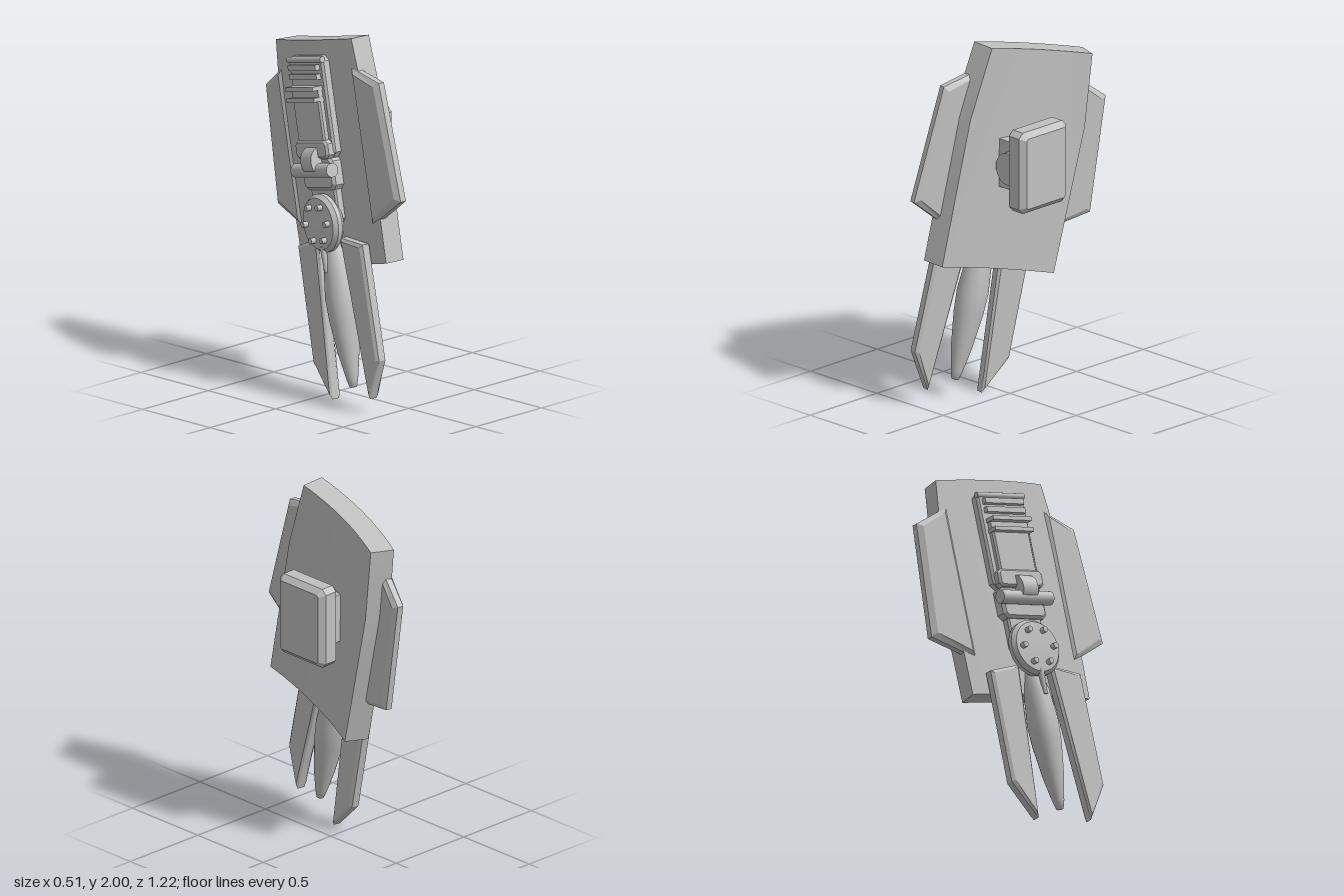
import * as THREE from 'three';
import { toCreasedNormals } from 'three/addons/utils/BufferGeometryUtils.js';

const grey = new THREE.MeshStandardMaterial({ color: 0xc0c0c0 });
grey.name = 'light grey';

function add(parent, name, geometry, x = 0, y = 0, z = 0) {
  const mesh = new THREE.Mesh(geometry, grey);
  mesh.name = name;
  mesh.position.set(x, y, z);
  parent.add(mesh);
  return mesh;
}

// Plate drawn as [across, down] points, running outward (-x) from x = start
function plate(points, thickness, bevel = 0, inset = bevel) {
  const shape = new THREE.Shape(points.map(([e, d]) => new THREE.Vector2(e, -d)));
  const geometry = new THREE.ExtrudeGeometry(shape, {
    depth: thickness - 2 * bevel, bevelEnabled: bevel > 0, bevelThickness: bevel,
    bevelSize: inset, bevelOffset: -inset, bevelSegments: 1,
  });
  geometry.translate(0, 0, bevel);
  return geometry.rotateY(-Math.PI / 2);
}

// Rectangle with cut corners between two distances down the shield
const cutRect = (w, top, bottom, c) => [
  [-w + c, top], [w - c, top], [w, top + c], [w, bottom - c],
  [w - c, bottom], [-w + c, bottom], [-w, bottom - c], [-w, top + c],
];

// Curved slab, bent round an axis on its inner (+x) side
function shieldGeometry() {
  const R = 1.84, A = 0.19, length = 1.212;
  const box = new THREE.BoxGeometry(1, 1, 1, 1, 3, 16);
  const p = box.attributes.position;
  for (let i = 0; i < p.count; i++) {
    const d = (0.5 - p.getY(i)) * length;
    const half = d < 0.404 ? 0.345 + 0.048 * d / 0.404 : 0.393 - 0.01 * (d - 0.404) / 0.81;
    const a = p.getZ(i) * 2 * A, r = R - p.getX(i) * 0.134;
    p.setXYZ(i, R * Math.cos(A) - r * Math.cos(a), -d, r * Math.sin(a) / (R * Math.sin(A)) * half);
  }
  return toCreasedNormals(box, 0.5);
}

export function createModel() {
  const model = new THREE.Group();
  model.name = 'armShield';

  // Everything fixed to the shield shares its lean and turn
  const shield = new THREE.Group();
  shield.name = 'shieldAssembly';
  shield.rotation.set(-0.237, -0.185, 0, 'YXZ');
  shield.position.set(0.031, 1.92, -0.16);
  model.add(shield);

  add(shield, 'shieldPanel', shieldGeometry());

  // Mirrored side wings and lower blades
  for (const [side, s] of [['front', 1], ['rear', -1]]) {
    const wing = [[0.33, 0.155], [0.535, 0.245], [0.582, 0.885], [0.33, 1.005]];
    const g = plate(wing.map(([e, d]) => [e * s, d]), 0.07, 0.018, 0.03);
    const p = g.attributes.position;
    for (let i = 0; i < p.count; i++) p.setX(i, p.getX(i) + (Math.abs(p.getZ(i)) - 0.58) * 0.11);
    g.computeVertexNormals();
    add(shield, side + 'Wing', g, 0.008);

    const blade = [[0.105, 1.06], [0.305, 1.1], [0.311, 1.727], [0.178, 1.928]];
    add(shield, side + 'Blade', plate(blade.map(([e, d]) => [e * s, d]), 0.065, 0.012, 0.018), -0.085);
  }

  // Tapered spike between the blades
  const spike = [[0, 1.87], [0.02, 1.865], [0.032, 1.82], [0.058, 1.68], [0.08, 1.5],
    [0.086, 1.38], [0.07, 1.2], [0.04, 1.08], [0, 1.06]];
  add(shield, 'spike', new THREE.LatheGeometry(
    spike.map(([r, d]) => new THREE.Vector2(r, -d)), 24), -0.115);

  // Layered housing on the outer face
  add(shield, 'housingBase', plate(cutRect(0.16, 0.08, 0.63, 0.03), 0.06, 0.012), -0.08);
  add(shield, 'housingCover', plate(cutRect(0.125, 0.3, 0.56, 0.02), 0.05, 0.01), -0.12);
  add(shield, 'housingStep', plate(cutRect(0.15, 0.53, 0.63, 0.02), 0.06, 0.012), -0.12);
  add(shield, 'lowerHousing', plate(cutRect(0.145, 0.62, 0.8, 0.025), 0.08, 0.015), -0.08);
  add(shield, 'lowerTongue', plate(cutRect(0.115, 0.76, 1.0, 0.04), 0.06, 0.01), -0.08);

  // Cross bars near the top of the housing
  for (const [d, h, out] of [[0.14, 0.03, 0.03], [0.19, 0.03, 0.03], [0.25, 0.022, 0.065], [0.31, 0.022, 0.065]])
    add(shield, 'crossBar', new THREE.BoxGeometry(out, h, 0.26), -0.138 - out / 2, -d, 0);
  add(shield, 'channelFloor', new THREE.BoxGeometry(0.03, 0.06, 0.25), -0.152, -0.28, 0);
  const topRod = add(shield, 'topRod', new THREE.CylinderGeometry(0.016, 0.016, 0.32, 12), -0.135, -0.1, 0);
  topRod.rotation.x = Math.PI / 2;

  // Roller with its wheel
  const roller = add(shield, 'roller', new THREE.CylinderGeometry(0.038, 0.038, 0.34, 20), -0.175, -0.69, 0);
  roller.rotation.x = Math.PI / 2;
  const wheel = add(shield, 'rollerWheel', new THREE.CylinderGeometry(0.08, 0.08, 0.1, 28), -0.15, -0.64, 0.01);
  wheel.rotation.x = Math.PI / 2;

  // Round hub with six bolts
  const hub = new THREE.Group();
  hub.name = 'hub';
  hub.position.set(-0.12, -0.975, 0);
  hub.rotation.z = Math.PI / 2;
  shield.add(hub);
  const rim = [[0, 0], [0.13, 0], [0.158, 0.03], [0.158, 0.055], [0.14, 0.078], [0, 0.085]];
  add(hub, 'hubDisc', toCreasedNormals(new THREE.LatheGeometry(
    rim.map(([r, y]) => new THREE.Vector2(r, y)), 36), 0.5));
  for (let i = 0; i < 6; i++) {
    const a = (i + 0.5) * Math.PI / 3;
    add(hub, 'hubBolt', new THREE.CylinderGeometry(0.016, 0.016, 0.04, 12),
      0.102 * Math.cos(a), 0.09, 0.102 * Math.sin(a));
  }
  add(shield, 'spikePin', new THREE.CylinderGeometry(0.018, 0.012, 0.14, 12), -0.185, -1.17, 0);

  // Upright mounting block on the inner face
  const mount = new THREE.Group();
  mount.name = 'mount';
  model.add(mount);
  add(mount, 'mountBlock', plate(cutRect(0.175, -0.2275, 0.2275, 0.028), 0.135, 0.03), 0.255, 1.33, -0.02);
  add(mount, 'mountBracket', new THREE.BoxGeometry(0.12, 0.27, 0.24), 0.08, 1.335, -0.02);
  const pivot = add(mount, 'mountPivot', new THREE.CylinderGeometry(0.09, 0.09, 0.28, 28), 0.125, 1.33, 0);
  pivot.rotation.x = Math.PI / 2;

  return model;
}
